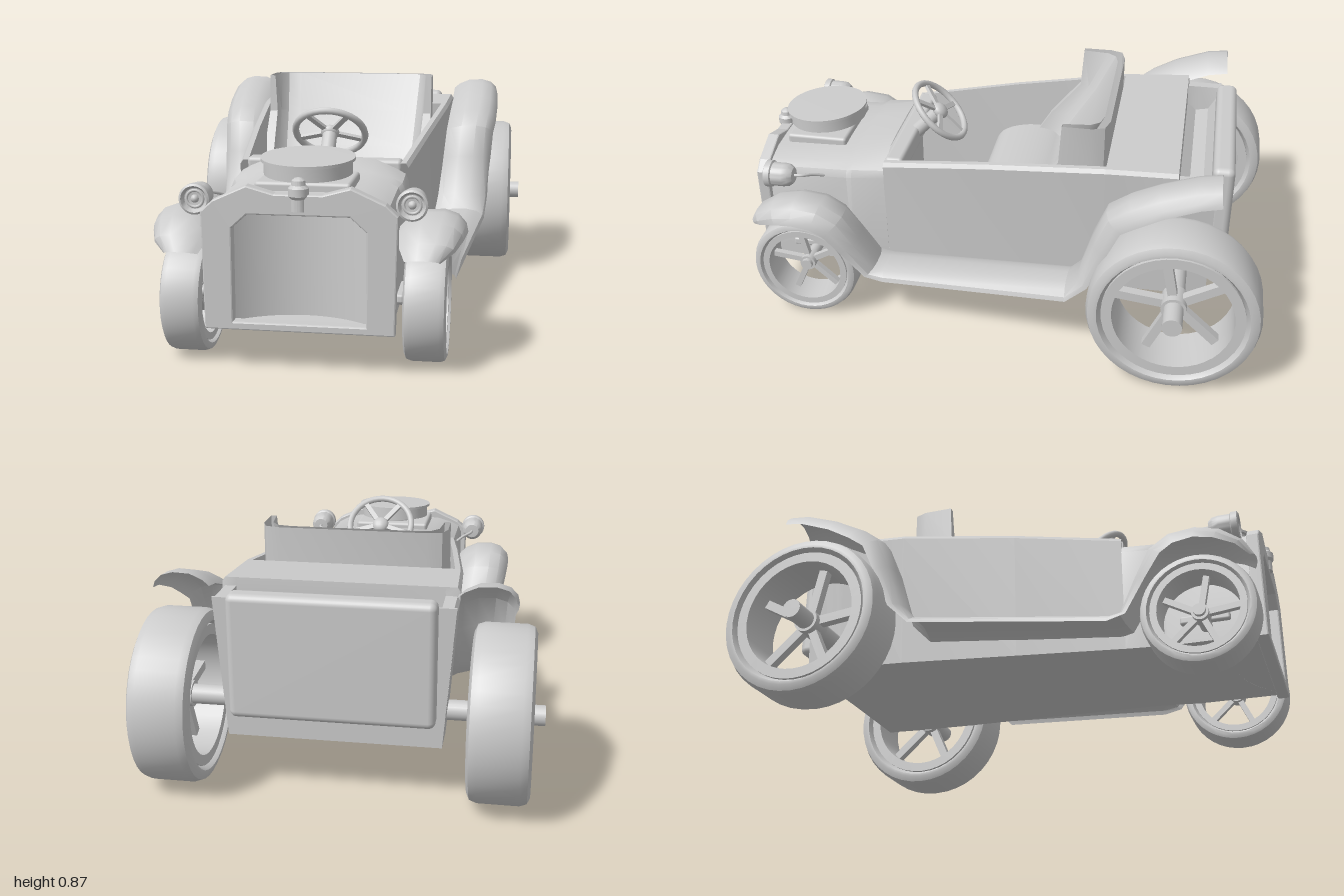
import * as THREE from 'three';
import { toCreasedNormals } from 'three/addons/utils/BufferGeometryUtils.js';
import { RoundedBoxGeometry } from 'three/addons/geometries/RoundedBoxGeometry.js';

const solid = new THREE.MeshStandardMaterial({ color: 0xcccccc });
const thin = new THREE.MeshStandardMaterial({ color: 0xcccccc, side: THREE.DoubleSide });

function add(parent, name, geometry, x = 0, y = 0, z = 0, material = solid) {
  const mesh = new THREE.Mesh(geometry, material);
  mesh.name = name;
  mesh.position.set(x, y, z);
  parent.add(mesh);
  return mesh;
}

// Skin a list of cross-sections, each an array of [x, y, z]
function loft(rings, closed) {
  const n = rings[0].length, index = [];
  for (let i = 0; i < rings.length - 1; i++) {
    for (let j = 0; j < (closed ? n : n - 1); j++) {
      const a = i * n + j, b = i * n + (j + 1) % n;
      index.push(a, b, a + n, b, b + n, a + n);
    }
  }
  const g = new THREE.BufferGeometry();
  g.setAttribute('position', new THREE.Float32BufferAttribute(rings.flat(2), 3));
  g.setIndex(index);
  return toCreasedNormals(g, 0.6);
}

// Close a right-hand half section by mirroring it over x = 0
const mirrored = (half, z) => [
  ...half.map(([x, y]) => [x, y, z]),
  ...half.slice().reverse().map(([x, y]) => [-x, y, z]),
];

const lathe = (pts, seg = 40) =>
  toCreasedNormals(new THREE.LatheGeometry(pts.map(p => new THREE.Vector2(...p)), seg), 0.6);

const shapeOf = pts => new THREE.Shape(pts.map(p => new THREE.Vector2(...p)));

// Wheel with its axis along x
function makeWheel(name, r, w, rimR, spokeW) {
  const g = new THREE.Group();
  g.name = name;
  const h = w / 2, s = r * 0.08, tyreR = rimR + (r - rimR) * 0.4;
  const tyre = lathe([[tyreR, -h + s], [tyreR + s * 0.6, -h], [r - s * 1.2, -h], [r - s * 0.35, -h + s * 0.4],
    [r, -h + s * 1.4], [r, h - s * 1.4], [r - s * 0.35, h - s * 0.4], [r - s * 1.2, h],
    [tyreR + s * 0.6, h], [tyreR, h - s], [tyreR, -h + s]]);
  add(g, 'tyre', tyre).rotation.z = -Math.PI / 2;
  const rim = lathe([[rimR, -h + s * 0.5], [tyreR, -h + s * 0.5], [tyreR, h - s * 0.5],
    [rimR, h - s * 0.5], [rimR, -h + s * 0.5]]);
  add(g, 'rim', rim).rotation.z = -Math.PI / 2;
  add(g, 'hub', new THREE.CylinderGeometry(r * 0.15, r * 0.15, w * 0.4, 20)).rotation.z = Math.PI / 2;
  for (let i = 0; i < 5; i++) {
    const arm = new THREE.Group();
    arm.rotation.x = i * Math.PI * 2 / 5 + 0.2;
    add(arm, 'spoke', new THREE.BoxGeometry(w * 0.16, rimR, spokeW), 0, rimR / 2 + 0.004, 0);
    g.add(arm);
  }
  return g;
}

// One sweeping fender: front wing, running board and rear wing
function makeFender() {
  // z, y, inner x, outer x, edge drop
  const stations = [
    [0.965, 0.4, 0.34, 0.455, 0.02], [0.935, 0.45, 0.32, 0.5, 0.045], [0.86, 0.5, 0.31, 0.525, 0.065],
    [0.77, 0.52, 0.31, 0.535, 0.07], [0.67, 0.51, 0.31, 0.535, 0.075], [0.59, 0.46, 0.31, 0.53, 0.075],
    [0.535, 0.36, 0.3, 0.515, 0.06], [0.475, 0.24, 0.29, 0.49, 0.04], [0.44, 0.238, 0.29, 0.487, 0.04],
    [-0.28, 0.305, 0.36, 0.572, 0.04], [-0.325, 0.36, 0.37, 0.582, 0.045], [-0.37, 0.52, 0.38, 0.592, 0.065],
    [-0.42, 0.645, 0.39, 0.6, 0.07], [-0.5, 0.705, 0.4, 0.61, 0.07], [-0.6, 0.755, 0.41, 0.615, 0.065],
    [-0.73, 0.8, 0.415, 0.615, 0.06], [-0.81, 0.81, 0.415, 0.61, 0.055],
  ];
  const rings = stations.map(([z, y, xi, xo, d], i) => {
    const a = stations[Math.max(i - 1, 0)], b = stations[Math.min(i + 1, stations.length - 1)];
    const tz = b[0] - a[0], ty = b[1] - a[1], l = Math.hypot(tz, ty);
    const nz = ty / l, ny = -tz / l, w = xo - xi;
    return [[0, -d * 0.75], [0.12, -d * 0.4], [0.35, -d * 0.05], [0.65, 0], [0.85, -d * 0.2], [0.97, -d * 0.6], [1, -d]]
      .map(([u, o]) => [xi + u * w, y + ny * o, z + nz * o]);
  });
  return loft(rings, false);
}

function makeSteeringWheel() {
  const g = new THREE.Group();
  g.name = 'steeringWheel';
  add(g, 'steeringRim', new THREE.TorusGeometry(0.131, 0.013, 10, 36));
  add(g, 'steeringBoss', new THREE.SphereGeometry(0.035, 16, 10)).scale.z = 0.7;
  for (let i = 0; i < 5; i++) {
    const arm = new THREE.Group();
    arm.rotation.z = i * Math.PI * 2 / 5;
    add(arm, 'steeringSpoke', new THREE.BoxGeometry(0.02, 0.13, 0.012), 0, 0.065, 0);
    g.add(arm);
  }
  add(g, 'steeringColumn', new THREE.CylinderGeometry(0.028, 0.028, 0.2, 16), 0, 0, -0.1).rotation.x = Math.PI / 2;
  g.position.set(0, 0.71, 0.305);
  g.rotation.x = -Math.PI * 0.75;
  return g;
}

function makeHeadlight(side) {
  const g = new THREE.Group();
  g.name = 'headlight';
  const shell = lathe([[0, -0.06], [0.03, -0.058], [0.043, -0.042], [0.046, -0.02], [0.046, 0.022], [0.052, 0.026],
    [0.052, 0.048], [0.045, 0.052], [0.036, 0.036], [0, 0.03]], 28);
  add(g, 'lampShell', shell).rotation.x = Math.PI / 2;
  add(g, 'lampRing', new THREE.TorusGeometry(0.028, 0.005, 8, 24), 0, 0, 0.036);
  add(g, 'lampBulb', new THREE.SphereGeometry(0.014, 12, 8), 0, 0, 0.036);
  const rod = new THREE.CatmullRomCurve3([[0, 0, -0.05], [-side * 0.005, 0, -0.09], [-side * 0.035, -0.01, -0.12],
    [-side * 0.07, -0.03, -0.16]].map(p => new THREE.Vector3(...p)));
  add(g, 'lampBracket', new THREE.TubeGeometry(rod, 16, 0.006, 8));
  g.position.set(side * 0.36, 0.567, 0.86);
  return g;
}

// Wrap-around seat shell: upright outside, inside sloping forward to the cushion
function makeSeatBack() {
  // y, wing front z, inner back z, inner half width
  const levels = [[0.47, -0.03, -0.14, 0.29], [0.58, -0.1, -0.21, 0.297], [0.72, -0.22, -0.3, 0.305], [0.87, -0.23, -0.375, 0.315]];
  return loft(levels.map(([y, zf, zb, xi]) => {
    const half = [[xi - 0.08, zb], [xi - 0.03, zb + 0.012], [xi - 0.005, zb + 0.045], [xi + 0.005, zf],
      [0.342, zf], [0.342, -0.34], [0.325, -0.385], [0.27, -0.4]];
    return [...half.map(([x, z]) => [x, y, z]), ...half.slice().reverse().map(([x, z]) => [-x, y, z])];
  }), true);
}

export function createModel() {
  const car = new THREE.Group();
  car.name = 'roadster';

  // Open cockpit tub
  const tub = [[0.46, 0.31, 0.3, 0.168, 0.625], [0.05, 0.358, 0.33, 0.186, 0.687], [-0.4, 0.405, 0.365, 0.205, 0.742]];
  add(car, 'cockpitTub', loft(tub.map(([z, ht, hb, yb, yt]) => mirrored(
    [[hb, yb], [ht, yt - 0.015], [ht - 0.01, yt], [ht - 0.03, yt], [hb - 0.03, 0.27]], z)), true), 0, 0, 0, thin);

  // Rear body: flat deck, then a curved trough in front of the back panel
  // z, half top, half bottom, bottom y, top y, trough y
  const rear = [[-0.4, 0.405, 0.365, 0.205, 0.742, 0.742], [-0.66, 0.415, 0.375, 0.215, 0.755, 0.755],
    [-0.664, 0.415, 0.375, 0.215, 0.725, 0.65], [-0.7, 0.415, 0.375, 0.217, 0.725, 0.62],
    [-0.75, 0.415, 0.375, 0.219, 0.725, 0.63], [-0.79, 0.415, 0.375, 0.22, 0.725, 0.7]];
  add(car, 'rearBody', loft(rear.map(([z, ht, hb, yb, yt, yf]) => mirrored(
    [[hb, yb], [ht, yt - 0.015], [ht - 0.01, yt], [0.365, yt], [0.36, yf]], z)), true), 0, 0, 0, thin);
  const tail = shapeOf([[-0.375, 0.22], [0.375, 0.22], [0.415, 0.725], [-0.415, 0.725]]);
  add(car, 'tailWall', new THREE.ExtrudeGeometry(tail, { depth: 0.01, bevelEnabled: false }), 0, 0, -0.796);
  add(car, 'rearPanel', new RoundedBoxGeometry(0.71, 0.445, 0.08, 3, 0.025), 0, 0.532, -0.818);

  // Cowl and hood
  const hood = [[0.46, 0.312, 0.168, 0.57, 0.645], [0.59, 0.312, 0.16, 0.56, 0.62],
    [0.615, 0.3, 0.158, 0.55, 0.608], [0.93, 0.3, 0.155, 0.54, 0.6]];
  add(car, 'hood', loft(hood.map(([z, h, yb, ys, yt]) => mirrored([[0.3, yb], [h, ys - 0.01], [h - 0.012, ys + 0.018],
    [h - 0.045, ys + 0.036], [0.19, yt - 0.006], [0.08, yt]], z)), true), 0, 0, 0, thin);
  add(car, 'firewall', new THREE.BoxGeometry(0.58, 0.36, 0.02), 0, 0.41, 0.475);
  add(car, 'dashboard', new RoundedBoxGeometry(0.57, 0.08, 0.07, 3, 0.015), 0, 0.595, 0.425);

  // Radiator surround with a recessed hollow core
  const frame = shapeOf([[-0.31, 0.15], [0.31, 0.15], [0.318, 0.54], [0.28, 0.575], [0.17, 0.625],
    [0.08, 0.6], [-0.08, 0.6], [-0.17, 0.625], [-0.28, 0.575], [-0.318, 0.54]]);
  frame.holes.push(shapeOf([[-0.225, 0.168], [-0.225, 0.49], [-0.17, 0.54], [0.17, 0.54], [0.225, 0.49], [0.225, 0.168]]));
  add(car, 'radiatorFrame', new THREE.ExtrudeGeometry(frame,
    { depth: 0.034, bevelThickness: 0.006, bevelSize: 0.005, bevelSegments: 2 }), 0, 0, 0.932);
  add(car, 'radiatorCore', new THREE.CylinderGeometry(0.35, 0.35, 0.42, 24, 1, true, Math.PI - 0.8, 1.6),
    0, 0.365, 1.165, thin);
  add(car, 'radiatorCap', lathe([[0, -0.05], [0.026, -0.05], [0.026, -0.01], [0.034, 0], [0.034, 0.025],
    [0.024, 0.035], [0.022, 0.05], [0.012, 0.058], [0, 0.06]], 20), 0, 0.6, 0.957);

  // Air cleaner on its neck
  add(car, 'engineTop', new RoundedBoxGeometry(0.32, 0.05, 0.24, 2, 0.012), 0, 0.605, 0.775);
  add(car, 'airCleanerNeck', new THREE.CylinderGeometry(0.09, 0.09, 0.07, 24), 0, 0.635, 0.775);
  add(car, 'airCleaner', lathe([[0, -0.032], [0.15, -0.032], [0.15, 0.012], [0.16, 0.014], [0.16, 0.024], [0, 0.026]]),
    0, 0.675, 0.775).rotation.x = 0.06;

  // Seat cushion: side profile extruded across the cockpit
  const profile = new THREE.Shape();
  profile.moveTo(-0.25, 0.25);
  profile.lineTo(-0.25, 0.49);
  profile.lineTo(-0.15, 0.49);
  profile.bezierCurveTo(-0.08, 0.52, 0.06, 0.51, 0.11, 0.47);
  profile.bezierCurveTo(0.15, 0.43, 0.15, 0.36, 0.14, 0.25);
  const cushion = new THREE.ExtrudeGeometry(profile, { depth: 0.64, bevelEnabled: false, curveSegments: 10 });
  cushion.rotateY(-Math.PI / 2);
  cushion.translate(0.32, 0, 0);
  add(car, 'seatCushion', toCreasedNormals(cushion, 0.6));
  add(car, 'seatBack', makeSeatBack(), 0, 0, 0, thin);
  car.add(makeSteeringWheel());

  // Axles
  add(car, 'frontAxle', new THREE.CylinderGeometry(0.022, 0.022, 0.9, 16), 0, 0.212, 0.757).rotation.z = Math.PI / 2;
  add(car, 'rearAxle', new THREE.CylinderGeometry(0.036, 0.036, 1.44, 20), 0, 0.316, -0.684).rotation.z = Math.PI / 2;

  // Paired parts
  const fender = makeFender();
  for (const side of [1, -1]) {
    add(car, side > 0 ? 'leftFender' : 'rightFender', fender, 0, 0, 0, thin).scale.x = side;
    car.add(makeHeadlight(side));
    add(car, 'frontSpring', new RoundedBoxGeometry(0.025, 0.03, 0.18, 2, 0.008), side * 0.318, 0.235, 0.757);
    const front = makeWheel('frontWheel', 0.207, 0.142, 0.145, 0.022);
    front.position.set(side * 0.406, 0.211, 0.757);
    const rearWheel = makeWheel('rearWheel', 0.313, 0.215, 0.218, 0.034);
    rearWheel.position.set(side * 0.573, 0.316, -0.684);
    car.add(front, rearWheel);
  }
  return car;
}
